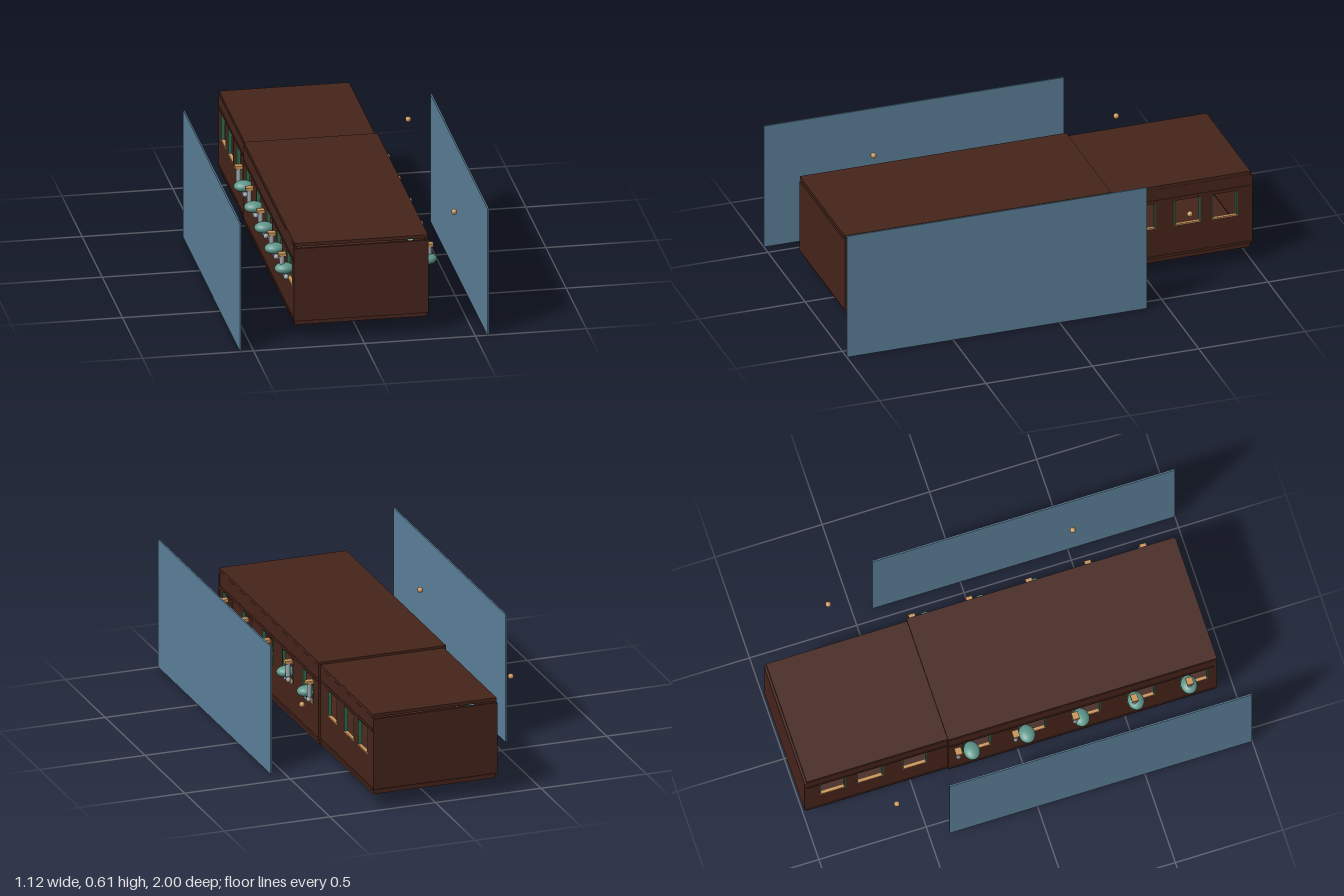
import * as THREE from 'three';

const mat = (color) => new THREE.MeshStandardMaterial({ color });
const wood = mat(0x46241b), green = mat(0x2f6b4c), gold = mat(0xc8935a);
const teal = mat(0x5f978b), grey = mat(0x9aa3ad), blue = mat(0x5b7f99);
const WIN_Y0 = 0.245, WIN_Y1 = 0.368;

function add(parent, name, geometry, material, x, y, z) {
  const mesh = new THREE.Mesh(geometry, material);
  mesh.name = name;
  mesh.position.set(x, y, z);
  parent.add(mesh);
  return mesh;
}

const box = (parent, name, material, w, h, d, x, y, z) =>
  add(parent, name, new THREE.BoxGeometry(w, h, d), material, x, y, z);

// Side wall with window openings; the outline runs along z and y
function sideWall(z0, z1, y0, y1, thick, windows) {
  const rect = (path, a, b, c, d) => {
    path.moveTo(a, c);
    path.lineTo(b, c);
    path.lineTo(b, d);
    path.lineTo(a, d);
    path.closePath();
    return path;
  };
  const shape = rect(new THREE.Shape(), z0, z1, y0, y1);
  for (const [z, w] of windows) {
    shape.holes.push(rect(new THREE.Path(), z - w / 2, z + w / 2, WIN_Y0, WIN_Y1));
  }
  const geometry = new THREE.ExtrudeGeometry(shape, { depth: thick, bevelEnabled: false });
  return geometry.rotateY(-Math.PI / 2);
}

// One length of the carriage: walls, floor, roof and window trim
function section(name, { z0, z1, half, roofTop, windows }) {
  const g = new THREE.Group();
  g.name = name;
  const thick = 0.014, len = z1 - z0, mid = (z0 + z1) / 2;
  const wall = sideWall(z0, z1, 0.095, roofTop - 0.015, thick, windows);
  for (const s of [-1, 1]) {
    add(g, 'sideWall', wall, wood, s > 0 ? half : -half + thick, 0, 0);
    // Raised rails above the windows and along the foot
    box(g, 'upperRail', wood, 0.006, 0.012, len, s * half, 0.38, mid);
    box(g, 'lowerRail', wood, 0.006, 0.012, len, s * half, 0.101, mid);
    for (const [z, w] of windows) {
      for (const e of [-1, 1]) {
        box(g, 'windowJamb', green, 0.016, WIN_Y1 - WIN_Y0, 0.005,
          s * (half - 0.007), (WIN_Y0 + WIN_Y1) / 2, z + e * (w / 2 - 0.002));
      }
      box(g, 'windowSill', gold, 0.016, 0.005, w, s * (half - 0.007), WIN_Y0 + 0.002, z);
    }
  }
  box(g, 'floor', wood, half * 2 - 0.008, 0.02, len, 0, 0.085, mid);
  box(g, 'roof', wood, half * 2 - 0.002, 0.015, len, 0, roofTop - 0.0075, mid);
  return g;
}

// Small machine hung outside a window: rounded tank, chimney and feet
function sideMachine(side, z, chimneyOffset) {
  const g = new THREE.Group();
  g.name = 'sideMachine';
  const tank = add(g, 'tank', new THREE.SphereGeometry(1, 20, 14), teal, 0.322, 0.298, 0);
  tank.scale.set(0.044, 0.025, 0.037);
  add(g, 'chimney', new THREE.CylinderGeometry(0.011, 0.011, 0.065, 16), grey, 0.332, 0.328, chimneyOffset);
  box(g, 'chimneyCap', gold, 0.034, 0.014, 0.03, 0.332, 0.365, chimneyOffset);
  box(g, 'bracket', grey, 0.03, 0.008, 0.02, 0.312, 0.276, 0);
  for (const e of [-1, 1]) {
    add(g, 'foot', new THREE.SphereGeometry(0.012, 12, 8), grey, 0.316, 0.262, e * 0.015);
  }
  g.position.z = z;
  // Turn the far-side copy around, keeping the chimney at the same end
  if (side < 0) {
    g.rotation.y = Math.PI;
    for (const part of g.children) part.position.z *= -1;
  }
  return g;
}

export function createModel() {
  const model = new THREE.Group();
  model.name = 'railCarriage';

  // Machine position and chimney offset along z
  const machines = [[-0.23, -0.065], [0.027, -0.055], [0.28, -0.03], [0.535, -0.01], [0.782, 0]];

  const front = section('frontSection', {
    z0: -0.333, z1: 0.91, half: 0.302, roofTop: 0.466,
    windows: machines.map(([z]) => [z + 0.03, 0.13]),
  });
  box(front, 'frontWall', wood, 0.608, 0.345, 0.012, 0, 0.2675, 0.914);
  box(front, 'frontRoofEdge', wood, 0.6, 0.015, 0.01, 0, 0.4585, 0.915);

  const back = section('backSection', {
    z0: -0.99, z1: -0.333, half: 0.294, roofTop: 0.455,
    windows: [[-0.487, 0.113], [-0.695, 0.122], [-0.869, 0.118]],
  });
  box(back, 'backWall', wood, 0.588, 0.335, 0.012, 0, 0.2675, -0.994);
  model.add(front, back);

  for (const s of [-1, 1]) {
    for (const [z, offset] of machines) model.add(sideMachine(s, z, offset));
    // Free-standing side screens and floating beads
    box(model, 'sideScreen', blue, 0.007, 0.605, 1.41, s * 0.557, 0.3025, 0.295);
    for (const z of [-0.635, 0.505]) {
      add(model, 'bead', new THREE.SphereGeometry(0.013, 16, 12), gold, s * 0.495, 0.402, z);
    }
  }
  return model;
}
